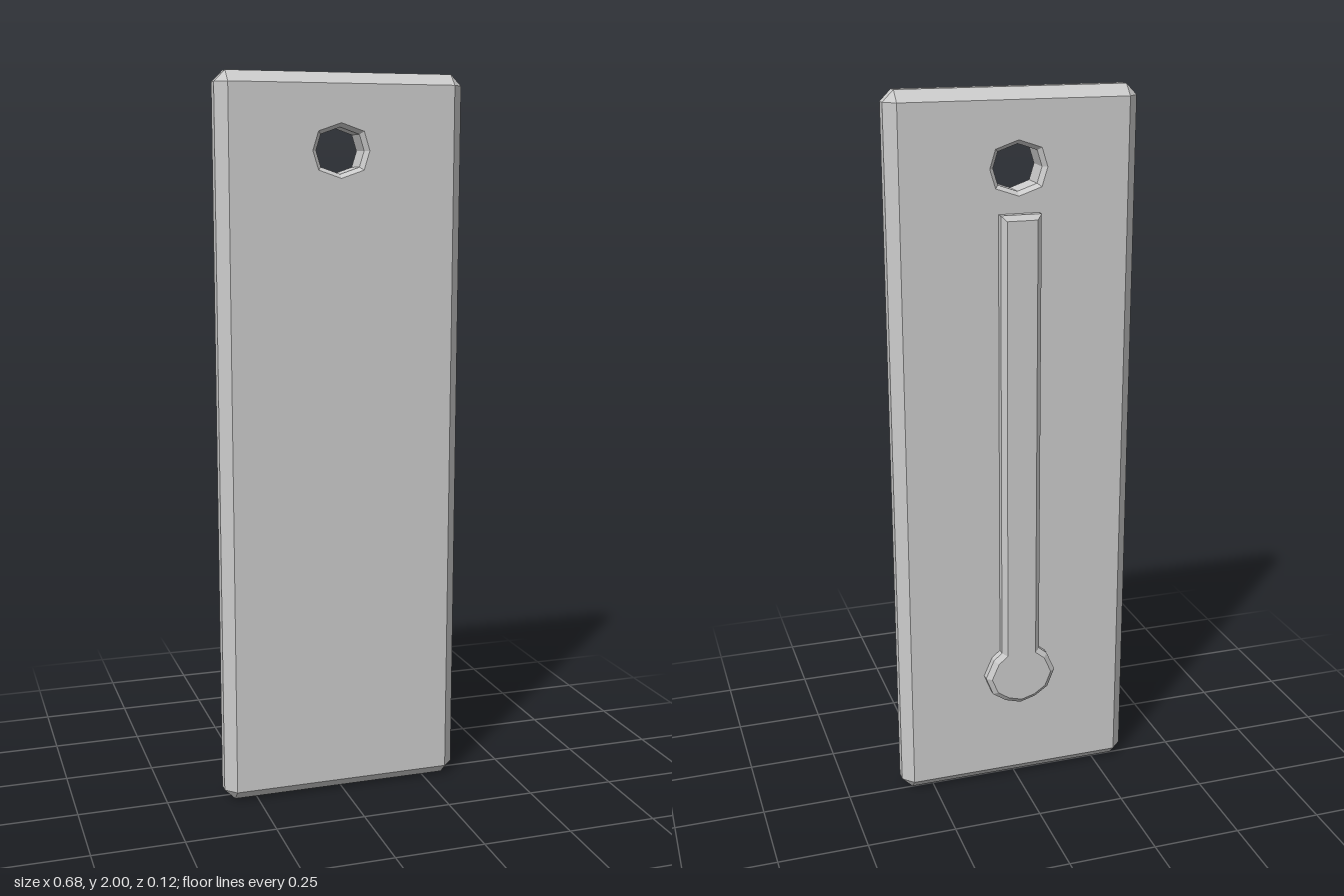
import * as THREE from 'three';
import { mergeGeometries } from 'three/addons/utils/BufferGeometryUtils.js';

const W = 0.342, H = 2, BACK = -0.03, FRONT = 0.06, BEVEL = 0.03;
const CENTRE_X = -0.007;

// Joins closed loops of [x, y], each at its own z, with quads (counter-clockwise loops face outward).
function loft(sections) {
  const pos = [];
  for (let s = 0; s < sections.length - 1; s++) {
    const [a, b] = [sections[s], sections[s + 1]];
    const n = a.loop.length;
    for (let i = 0; i < n; i++) {
      const j = (i + 1) % n;
      const p = [...a.loop[i], a.z], q = [...a.loop[j], a.z];
      const r = [...b.loop[j], b.z], t = [...b.loop[i], b.z];
      if (p.join() !== q.join()) pos.push(...p, ...q, ...r);
      if (r.join() !== t.join()) pos.push(...p, ...r, ...t);
    }
  }
  const g = new THREE.BufferGeometry();
  g.setAttribute('position', new THREE.Float32BufferAttribute(pos, 3));
  g.computeVertexNormals();
  return g;
}

// Board outline with eight points; cut = 0 gives the inset rectangle of the flat faces.
function outline(cut) {
  const x = W - BEVEL, y0 = BEVEL, y1 = H - BEVEL;
  return [
    [x + cut, y0], [x + cut, y1], [x, y1 + cut], [-x, y1 + cut],
    [-x - cut, y1], [-x - cut, y0], [-x, y0 - cut], [x, y0 - cut],
  ];
}

// Eight-sided hanging hole, listed clockwise so its walls face inward.
function holeLoop(rx, ry) {
  const unit = [[1, 0], [0.8, -0.7], [0, -1], [-0.8, -0.7], [-1, 0], [-0.8, 0.7], [0, 1], [0.8, 0.7]];
  return unit.map(([x, y]) => [CENTRE_X + x * rx, 1.797 + y * ry]);
}

const toPoints = (loop) => loop.map(([x, y]) => new THREE.Vector2(x, y));

// Flat face of the board, pierced by the hole
function face(z, flip) {
  const x = W - BEVEL;
  const shape = new THREE.Shape(toPoints([[-x, BEVEL], [x, BEVEL], [x, H - BEVEL], [-x, H - BEVEL]]));
  shape.holes.push(new THREE.Path(toPoints(holeLoop(0.079, 0.072))));
  const g = new THREE.ShapeGeometry(shape).toNonIndexed();
  if (flip) {
    const p = g.attributes.position;
    for (let i = 0; i < p.count; i += 3) {
      const [x1, y1, x2, y2] = [p.getX(i + 1), p.getY(i + 1), p.getX(i + 2), p.getY(i + 2)];
      p.setXY(i + 1, x2, y2);
      p.setXY(i + 2, x1, y1);
    }
  }
  g.translate(0, 0, z);
  g.deleteAttribute('uv');
  g.computeVertexNormals();
  return g;
}

export function createModel() {
  const model = new THREE.Group();
  model.name = 'hangingBoard';
  const material = new THREE.MeshStandardMaterial({ color: 0xcccccc, flatShading: true });

  // Board: bevelled rim, hole walls with chamfered edges, and two flat faces
  const rim = loft([
    { loop: outline(0), z: BACK },
    { loop: outline(BEVEL), z: BACK + BEVEL },
    { loop: outline(BEVEL), z: FRONT - BEVEL },
    { loop: outline(0), z: FRONT },
  ]);
  const wide = holeLoop(0.079, 0.072), narrow = holeLoop(0.067, 0.061);
  const hole = loft([
    { loop: wide, z: BACK },
    { loop: narrow, z: BACK + 0.012 },
    { loop: narrow, z: FRONT - 0.012 },
    { loop: wide, z: FRONT },
  ]);
  const board = new THREE.Mesh(mergeGeometries([rim, hole, face(FRONT, false), face(BACK, true)]), material);
  board.name = 'board';
  model.add(board);

  // Raised stem with a round bulb on the back; half the outline is mirrored
  const half = [
    [0.045, 0.266], [0.083, 0.292], [0.104, 0.345],
    [0.08, 0.4], [0.056, 0.42], [0.056, 1.68],
  ];
  const mirrored = half.map(([x, y]) => [-x, y]).reverse();
  const stemShape = new THREE.Shape(toPoints([[0, 0.253], ...half, ...mirrored]));
  const stem = new THREE.Mesh(new THREE.ExtrudeGeometry(stemShape, {
    depth: 0.03, bevelEnabled: true, bevelSegments: 1,
    bevelThickness: 0.012, bevelSize: 0.014, bevelOffset: -0.014,
  }), material);
  stem.name = 'stemAndBulb';
  stem.rotation.y = Math.PI;
  stem.position.set(CENTRE_X, 0, -0.02);
  model.add(stem);

  // Centre the depth
  for (const part of model.children) part.position.z += 0.001;
  return model;
}
